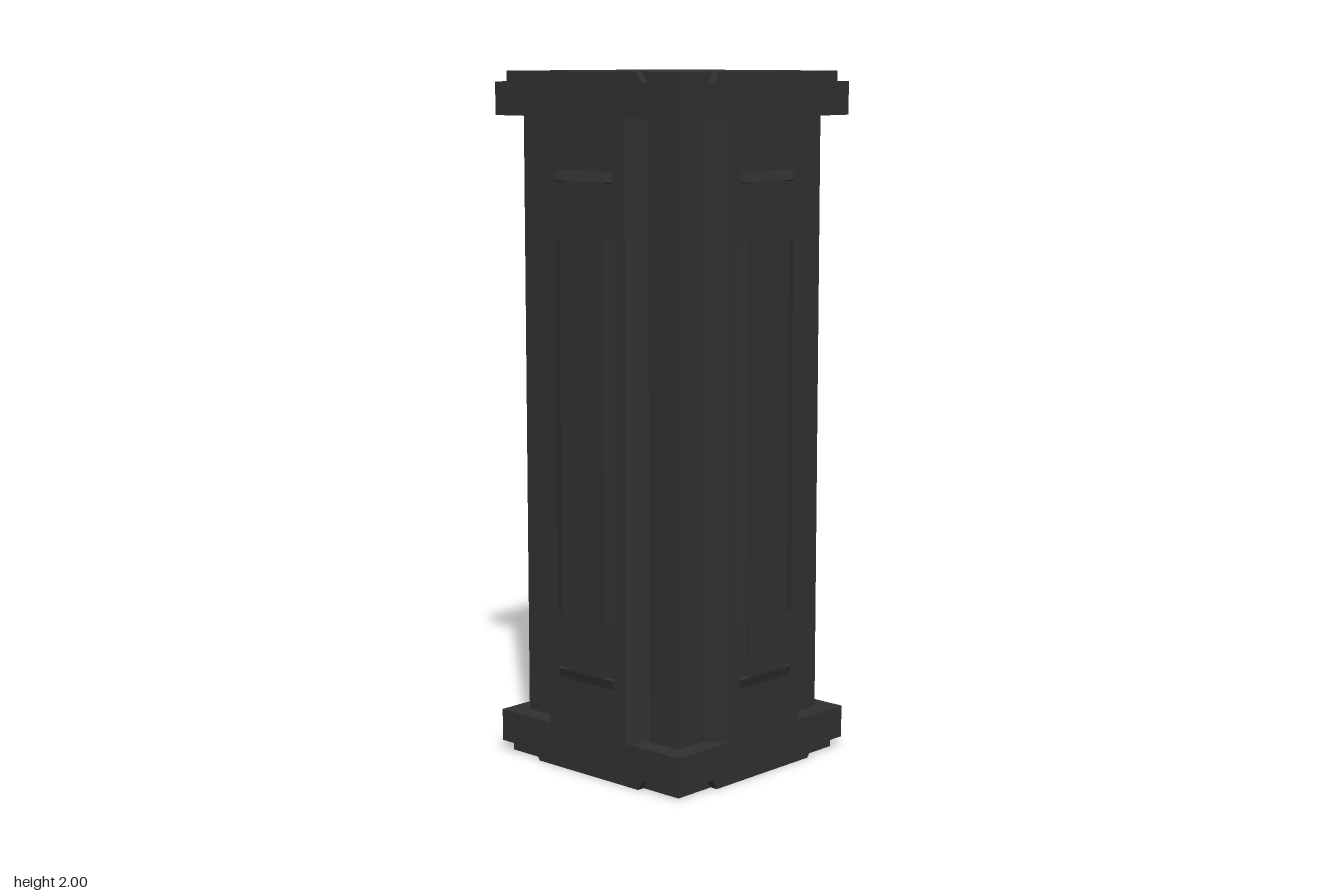
import * as THREE from 'three';

const H = 2, HALF = 0.357, CORE = 0.3, CAP = 0.125, STEP = 0.03, INSET = 0.334;

const darkMetal = new THREE.MeshStandardMaterial({ color: 0x303030 });
darkMetal.name = 'dark metal';

// Prism from a polygon, centred along z
function prism(points, depth) {
  const shape = new THREE.Shape(points.map(([x, y]) => new THREE.Vector2(x, y)));
  return new THREE.ExtrudeGeometry(shape, { depth, bevelEnabled: false }).translate(0, 0, -depth / 2);
}

function add(parent, name, geometry, x = 0, y = 0, z = 0) {
  const mesh = new THREE.Mesh(geometry, darkMetal);
  mesh.name = name;
  mesh.position.set(x, y, z);
  parent.add(mesh);
  return mesh;
}

// Square cap with notched corners; its outer face lies at local y = 0
function makeCap(name) {
  const cap = new THREE.Group();
  cap.name = name;
  const slab = CAP - STEP;
  add(cap, 'capSlab', new THREE.BoxGeometry(HALF * 2, slab, HALF * 2), 0, -STEP - slab / 2, 0);
  add(cap, 'capPlate', new THREE.BoxGeometry(INSET * 2, STEP, INSET * 2), 0, -STEP / 2, 0);
  const lug = prism([[-0.218, -STEP], [0.218, -STEP], [0.2, 0], [-0.2, 0]], HALF - INSET);
  lug.translate(0, 0, (HALF + INSET) / 2);
  for (let i = 0; i < 4; i++) add(cap, 'capLug', lug).rotation.y = i * Math.PI / 2;
  return cap;
}

// Shaft: square core with a raised, slope-sided panel on each face
function shaftGeometry() {
  const side = [[-CORE, CORE], [-0.19, CORE], [-0.155, HALF], [0.155, HALF], [0.19, CORE]];
  const points = [];
  for (let i = 0; i < 4; i++) {
    const c = Math.cos(-i * Math.PI / 2), s = Math.sin(-i * Math.PI / 2);
    for (const [x, y] of side) points.push([x * c - y * s, x * s + y * c]);
  }
  return prism(points, H - 2 * CAP).rotateX(-Math.PI / 2);
}

// Shallow raised relief on one panel, facing +z
function makeRelief() {
  const relief = new THREE.Group();
  relief.name = 'panelRelief';
  const base = HALF - 0.004, top = HALF + 0.01;

  // Wide middle with sloping sides
  const body = prism([[-0.13, -base], [0.13, -base], [0.088, -top], [-0.088, -top]], 1.08);
  add(relief, 'reliefBody', body.rotateX(-Math.PI / 2), 0, 1, 0);

  // Narrow stem running past the body at both ends
  const stem = prism([[base, 0.26], [top, 0.3], [top, 1.7], [base, 1.74]], 0.146);
  add(relief, 'reliefStem', stem.rotateY(-Math.PI / 2));

  // Flared tips above and below the notches
  for (const s of [-1, 1]) {
    const tip = prism([[base, s * 0.695], [top - 0.001, s * 0.7], [base, s * 0.74]], 0.22);
    add(relief, 'reliefTip', tip.rotateY(-Math.PI / 2), 0, 1, 0);
  }
  return relief;
}

export function createModel() {
  const model = new THREE.Group();
  model.name = 'pillar';

  add(model, 'shaft', shaftGeometry(), 0, H / 2, 0);

  const topCap = makeCap('topCap');
  topCap.position.y = H;
  const bottomCap = makeCap('bottomCap');
  bottomCap.rotation.x = Math.PI;
  model.add(topCap, bottomCap);

  for (let i = 0; i < 4; i++) {
    const relief = makeRelief();
    relief.rotation.y = i * Math.PI / 2;
    model.add(relief);
  }
  return model;
}
